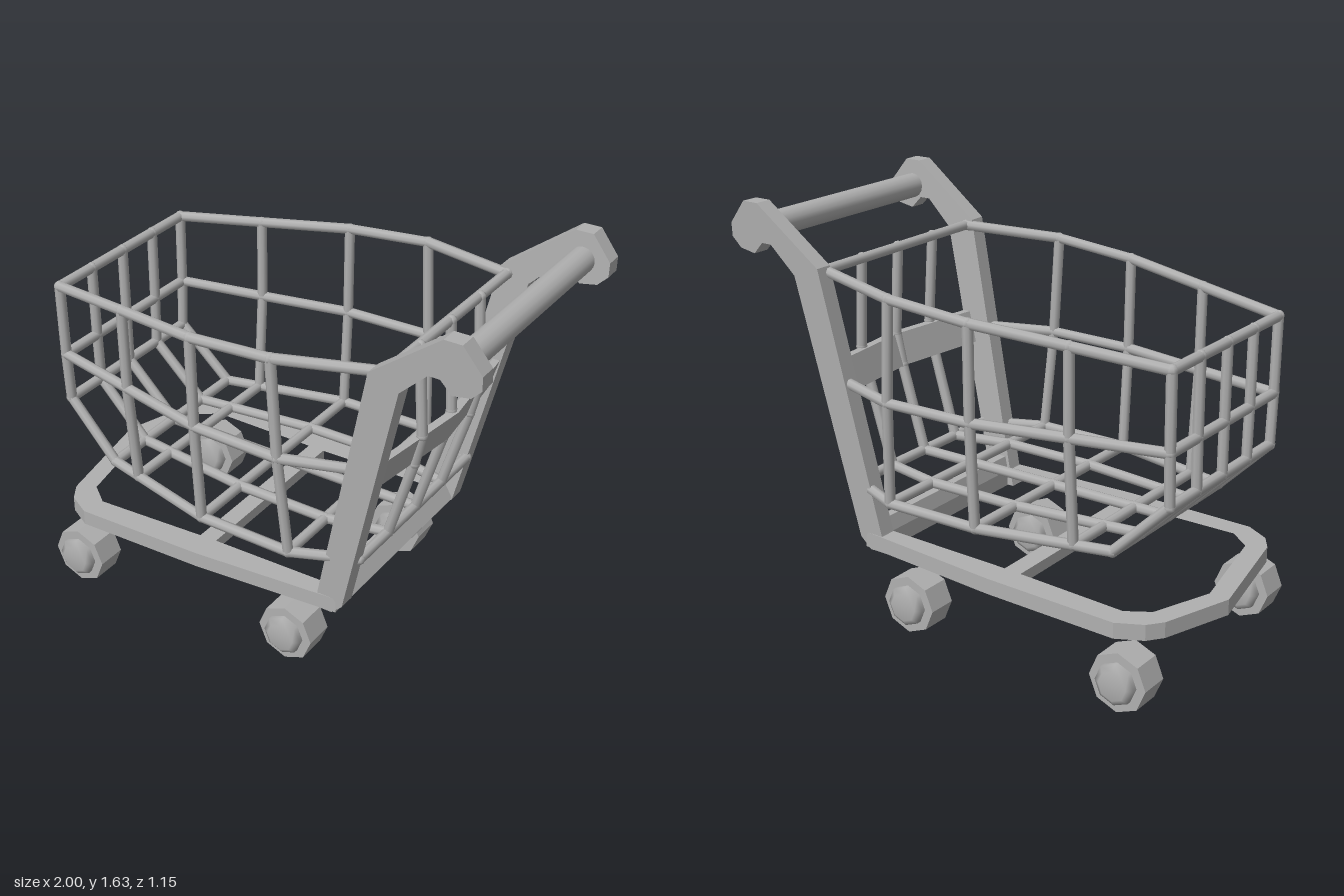
import * as THREE from 'three';

const V = (x, y, z) => new THREE.Vector3(x, y, z);

export function createModel() {
  const cart = new THREE.Group();
  cart.name = 'shoppingCart';
  const grey = new THREE.MeshStandardMaterial({ color: 0xb0b0b0 });
  grey.name = 'grey';

  const add = (name, geo, parent = cart) => {
    const mesh = new THREE.Mesh(geo, grey);
    mesh.name = name;
    parent.add(mesh);
    return mesh;
  };
  const group = (name) => {
    const g = new THREE.Group();
    g.name = name;
    cart.add(g);
    return g;
  };
  const flat = (geo) => {
    const g = geo.index ? geo.toNonIndexed() : geo;
    g.computeVertexNormals();
    return g;
  };
  // move every vertex by a rule
  const bend = (geo, rule) => {
    const p = geo.attributes.position;
    for (let i = 0; i < p.count; i++) {
      const v = V(0, 0, 0).fromBufferAttribute(p, i);
      rule(v);
      p.setXYZ(i, v.x, v.y, v.z);
    }
    return flat(geo);
  };
  const shapeOf = (pts) => new THREE.Shape(pts.map(([x, y]) => new THREE.Vector2(x, y)));
  // extrude a side profile (x, y), centred on z
  const sideSlab = (pts, width) =>
    new THREE.ExtrudeGeometry(shapeOf(pts), { depth: width, bevelEnabled: false }).translate(0, 0, -width / 2);
  // extrude a plan outline (x, z) upwards from y = 0
  const planSlab = (pts, height, hole) => {
    const flip = (list) => list.map(([x, z]) => [x, -z]);
    const s = shapeOf(flip(pts));
    if (hole) s.holes.push(shapeOf(flip(hole)));
    return new THREE.ExtrudeGeometry(s, { depth: height, bevelEnabled: false }).rotateX(-Math.PI / 2);
  };

  // round wire through a list of points, with a ball at each joint
  const R = 0.021;
  const wire = (name, pts, parent) => {
    const g = new THREE.Group();
    g.name = name;
    parent.add(g);
    pts.forEach((p, i) => {
      add('wireJoint', new THREE.SphereGeometry(R * 1.08, 8, 6).translate(p.x, p.y, p.z), g);
      if (i === 0) return;
      const d = p.clone().sub(pts[i - 1]);
      const rod = add('wireRod', new THREE.CylinderGeometry(R, R, d.length(), 8, 1, true), g);
      rod.position.copy(p).add(pts[i - 1]).multiplyScalar(0.5);
      rod.quaternion.setFromUnitVectors(V(0, 1, 0), d.normalize());
    });
  };

  // base frame: a pointed loop that rises slightly towards the handle
  const baseOuter = [
    [0.42, 0.46], [-0.2, 0.5], [-0.76, 0.505], [-0.86, 0.45], [-0.905, 0.38], [-1, -0.1],
    [-0.905, -0.39], [-0.86, -0.45], [-0.76, -0.505], [-0.2, -0.5], [0.42, -0.46],
  ];
  const baseInner = [
    [0.36, 0.39], [-0.2, 0.39], [-0.74, 0.41], [-0.83, 0.34], [-0.92, -0.1],
    [-0.83, -0.35], [-0.74, -0.41], [-0.2, -0.39], [0.36, -0.39],
  ];
  const rise = (v) => { v.y += 0.275 + 0.02 * (v.x + 1); };
  add('baseFrame', bend(planSlab(baseOuter, 0.063, baseInner), rise));
  add('baseCrossbar', bend(new THREE.BoxGeometry(0.075, 0.045, 0.82).translate(-0.228, 0.03, 0), rise));
  add('rearCrossbar', flat(sideSlab(
    [[0.35, 0.36], [0.365, 0.42], [0.4, 0.42], [0.447, 0.345], [0.405, 0.292], [0.35, 0.292]], 0.8)));

  // side uprights with rounded handle ends, splayed outwards with height
  const upright = [
    [0.4, 0.295], [0.447, 0.34], [0.69, 1.375], [0.8, 1.48], [0.845, 1.48], [0.89, 1.432],
    [0.96, 1.445], [1, 1.485], [1, 1.54], [0.925, 1.635], [0.855, 1.635], [0.57, 1.42],
    [0.34, 0.37], [0.32, 0.295],
  ];
  for (const s of [1, -1]) {
    add('sideUpright', bend(sideSlab(upright, 0.07), (v) => {
      v.z += s * (0.424 + 0.05 * (v.y - 0.33));
    }));
  }

  // handle
  add('handleBar', new THREE.CylinderGeometry(0.051, 0.051, 0.94, 16).rotateX(Math.PI / 2).translate(0.89, 1.526, 0));

  // creased back plate, leaning with the uprights
  add('backPlate', bend(planSlab(
    [[0.6, -0.45], [0.655, 0], [0.6, 0.45], [0.57, 0.45], [0.62, 0], [0.57, -0.45]], 0.127), (v) => {
    v.x += 0.3 * (v.y - 0.127);
    v.y += 0.9;
  }));

  // basket rings, mirrored about z = 0
  const basket = group('basket');
  const mirrored = (pts) => [
    ...pts.map(([x, y, z]) => V(x, y, z)),
    ...pts.slice().reverse().map(([x, y, z]) => V(x, y, -z)),
  ];
  const rimSide = [[0.6, 1.395, 0.44], [0.2, 1.375, 0.55], [-0.155, 1.345, 0.54], [-0.53, 1.31, 0.46], [-0.895, 1.275, 0.385]];
  const rim = mirrored(rimSide);
  wire('rim', [...rim, rim[0]], basket);
  wire('middleRing', mirrored(
    [[0.52, 0.97, 0.445], [0.22, 0.97, 0.545], [-0.155, 0.97, 0.535], [-0.53, 0.972, 0.455], [-0.895, 0.975, 0.38]]), basket);
  wire('frontLowerBar', mirrored([[-0.895, 0.77, 0.37]]), basket);
  wire('frontFloorBar', mirrored([[-0.675, 0.55, 0.385]]), basket);
  wire('rearFloorBar', mirrored([[0.49, 0.55, 0.41]]), basket);

  // ribs that go down one side, under the floor and up the other
  const ribs = [
    [[-0.53, 1.31, 0.46], [-0.53, 0.972, 0.455], [-0.53, 0.55, 0.42]],
    [[-0.155, 1.345, 0.54], [-0.155, 0.97, 0.535], [-0.155, 0.55, 0.51]],
    [[0.2, 1.375, 0.55], [0.22, 0.97, 0.545], [0.245, 0.55, 0.515]],
  ];
  ribs.forEach((rib) => wire('crossRib', mirrored(rib), basket));

  // lengthwise wires: down the front, along the floor, up the back (x, y, half width)
  const path = [
    [-0.895, 1.275, 0.385], [-0.895, 0.975, 0.38], [-0.895, 0.77, 0.37], [-0.675, 0.55, 0.385],
    [-0.53, 0.55, 0.42], [-0.155, 0.55, 0.51], [0.245, 0.55, 0.515], [0.49, 0.55, 0.41],
    [0.595, 0.9, 0.42], [0.625, 1.03, 0.43], [0.605, 1.395, 0.44],
  ];
  for (const k of [-1, -0.5, 0, 0.5, 1]) {
    const used = Math.abs(k) === 1 ? path.slice(0, 8) : path;
    wire('lengthwiseWire', used.map(([x, y, w]) => V(x, y, w * k)), basket);
  }

  // wheels: eight-sided tyres with domed hubs on both faces
  const hubProfile = [[0, -0.097], [0.058, -0.097], [0.082, -0.08], [0.082, 0.08], [0.058, 0.097], [0, 0.097]]
    .map(([r, y]) => new THREE.Vector2(r, y));
  for (const [x, z] of [[-0.79, 0.459], [0.2, 0.415]]) {
    for (const s of [1, -1]) {
      const wheel = group('wheel');
      wheel.position.set(x, 0.119, s * z);
      add('tyre', flat(new THREE.CylinderGeometry(0.119, 0.119, 0.122, 8).rotateX(Math.PI / 2)), wheel);
      add('hub', new THREE.LatheGeometry(hubProfile, 8).rotateX(Math.PI / 2), wheel);
    }
  }
  return cart;
}
